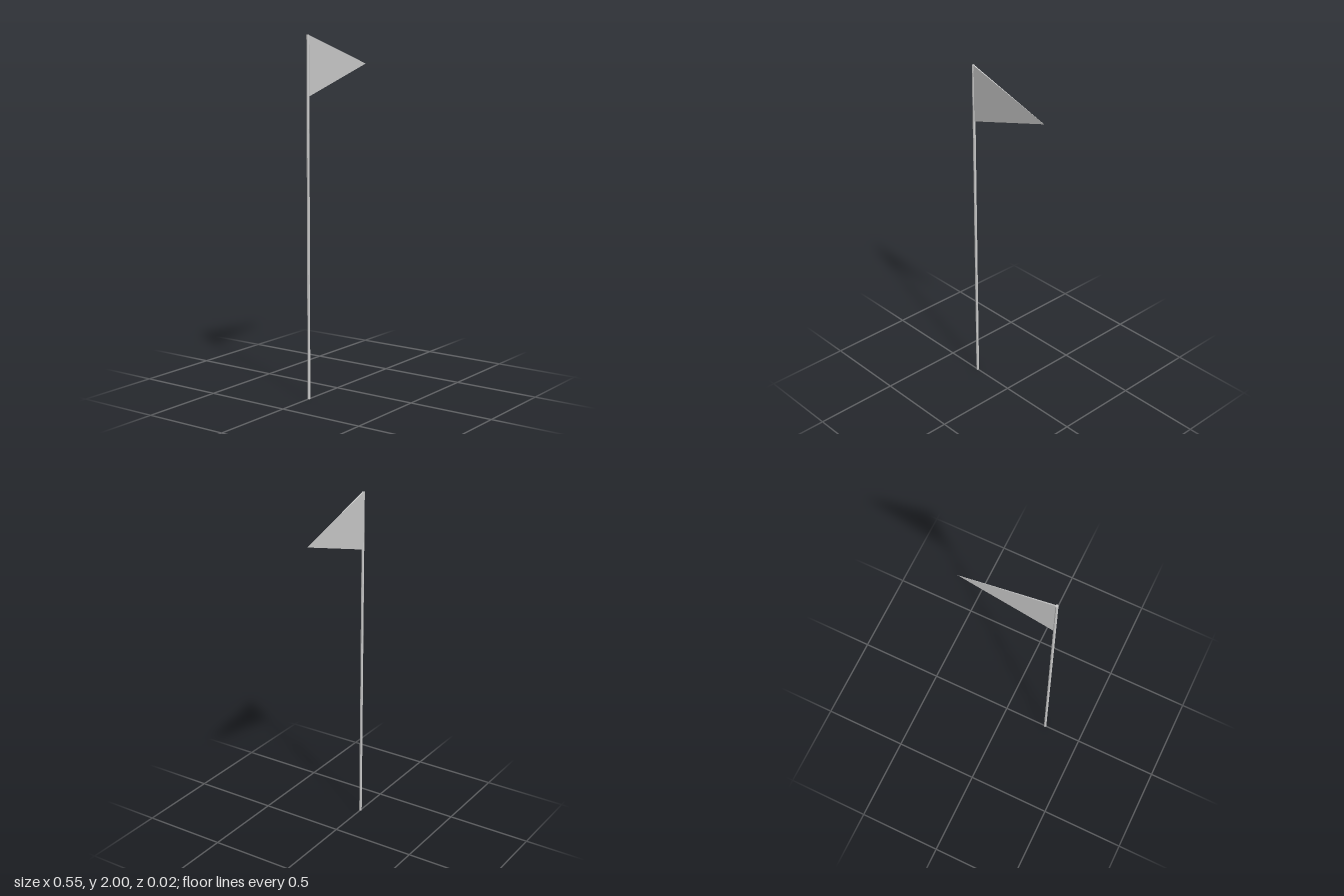
import * as THREE from 'three';

export function createModel() {
  const group = new THREE.Group();
  const material = new THREE.MeshStandardMaterial({ color: 0xcccccc, flatShading: true });
  const poleX = -0.268, poleRadius = 0.008, height = 2;

  // Slender eight-sided pole
  const pole = new THREE.Mesh(new THREE.CylinderGeometry(poleRadius, poleRadius, height, 8), material);
  pole.name = 'pole';
  pole.position.set(poleX, height / 2, 0);
  group.add(pole);

  // Triangular pennant, thinning from the pole to its tip
  const rootX = poleX + 0.005, tipX = 0.274, thickness = 0.007;
  const shape = new THREE.Shape([
    new THREE.Vector2(rootX, 1.672),
    new THREE.Vector2(tipX, 1.836),
    new THREE.Vector2(rootX, 1.999),
  ]);
  const geometry = new THREE.ExtrudeGeometry(shape, { depth: thickness, bevelEnabled: false });
  geometry.translate(0, 0, -thickness / 2);
  const p = geometry.attributes.position;
  for (let i = 0; i < p.count; i++) {
    const t = (p.getX(i) - rootX) / (tipX - rootX);
    p.setZ(i, p.getZ(i) * (1 - 0.95 * t));
  }
  geometry.computeVertexNormals();
  const flag = new THREE.Mesh(geometry, material);
  flag.name = 'pennant';
  group.add(flag);

  return group;
}
